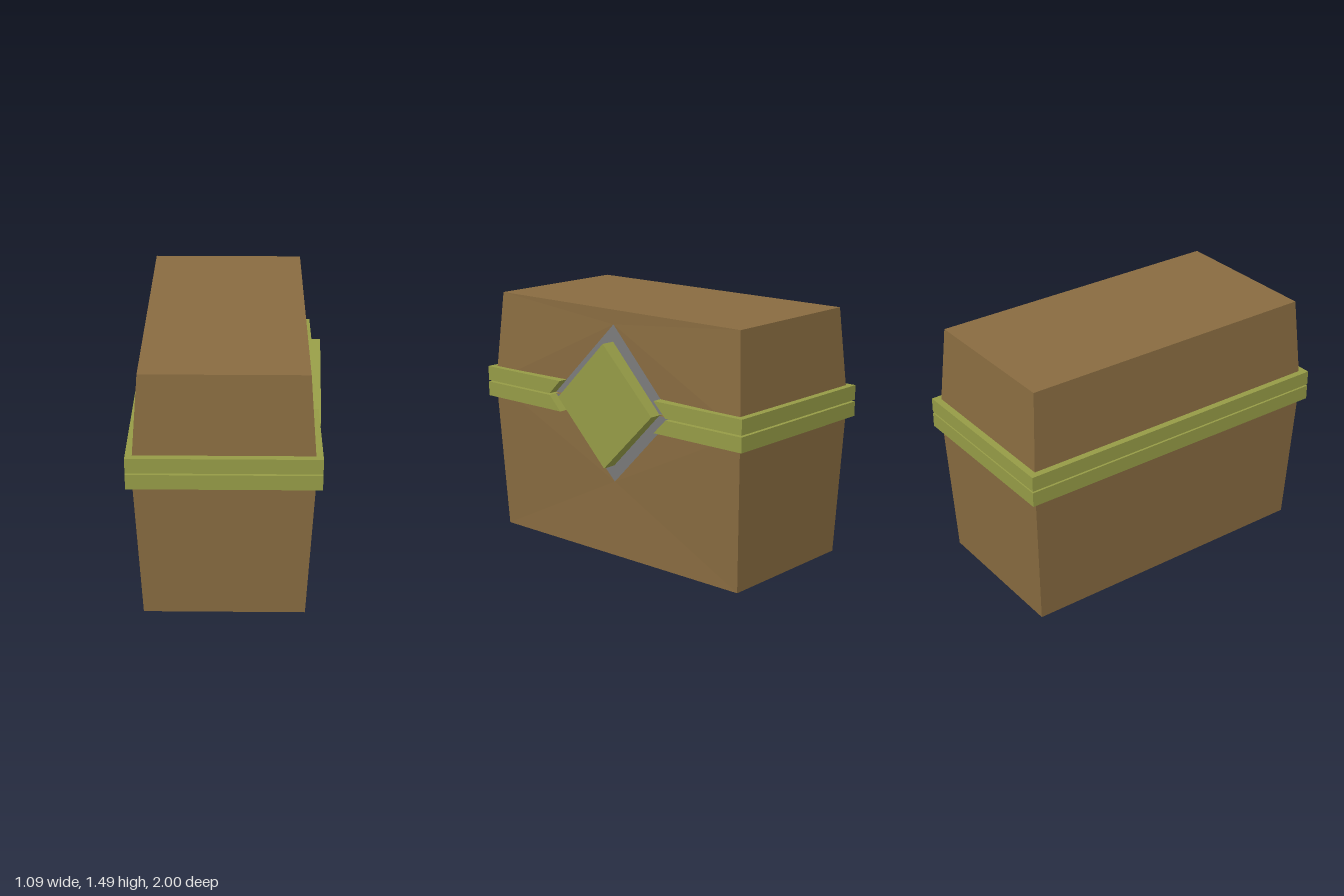
import * as THREE from 'three';

const brown = new THREE.MeshStandardMaterial({ name: 'brown wood', color: 0x886b40 });
const olive = new THREE.MeshStandardMaterial({ name: 'olive trim', color: 0x959b46 });
const grey = new THREE.MeshStandardMaterial({ name: 'grey plate', color: 0x797979 });
const MID = 0.93, GAP = 0.005;

// Flat-shaded convex polygons, each fanned into triangles
function faces(polys, flip) {
  const pos = [];
  for (const p of polys) {
    for (let i = 1; i < p.length - 1; i++) {
      const tri = flip ? [p[0], p[i + 1], p[i]] : [p[0], p[i], p[i + 1]];
      tri.forEach((v) => pos.push(...v));
    }
  }
  const g = new THREE.BufferGeometry();
  g.setAttribute('position', new THREE.Float32BufferAttribute(pos, 3));
  g.computeVertexNormals();
  return g;
}

// Outline in (z, y), given thickness along x
function slab(points, x, depth) {
  const shape = new THREE.Shape(points.map(([z, y]) => new THREE.Vector2(-z, y)));
  return new THREE.ExtrudeGeometry(shape, { depth, bevelEnabled: false })
    .rotateY(Math.PI / 2).translate(x, 0, 0);
}

export function createModel() {
  const root = new THREE.Group();
  const add = (name, geometry, material, parent = root) => {
    const m = new THREE.Mesh(geometry, material);
    m.name = name;
    parent.add(m);
    return m;
  };

  // Lid (s = 1) and base (s = -1) share one construction
  for (const s of [1, -1]) {
    const part = new THREE.Group();
    part.name = s > 0 ? 'lid' : 'base';
    root.add(part);
    const flip = s < 0;
    const end = s > 0 ? 1.485 : 0;
    const edge = MID + s * GAP;

    // Tapered box corners: a = outer end, c = seam
    const a = [[-0.47, end, 0.925], [0.45, end, 0.925], [0.45, end, -0.925], [-0.47, end, -0.925]];
    const c = [[-0.513, edge, 0.965], [0.493, edge, 0.965], [0.493, edge, -0.965], [-0.513, edge, -0.965]];
    // Diamond opening on the clasp side
    const p = [0.47, edge, 0.46], q = [0.47, edge, -0.46], r = [0.451, MID + s * 0.47, 0];

    add(part.name + 'Walls', faces([
      a,
      [c[0], c[1], a[1], a[0]],
      [c[2], c[3], a[3], a[2]],
      [c[3], c[0], a[0], a[3]],
      [r, a[1], c[1], p],
      [r, q, c[2], a[2]],
      [r, a[2], a[1]],
      [c[3], c[2], q, p, c[1], c[0]],
    ], flip), brown, part);
    add(part.name + 'ClaspPlate', faces([[p, q, r]], flip), grey, part);

    // Trim band round the seam, cut along the diamond
    const rim = MID + s * 0.093;
    const h = Math.abs(rim - edge), y = (rim + edge) / 2;
    for (const z of [-1, 1]) {
      add(z > 0 ? 'frontBand' : 'backBand',
        new THREE.BoxGeometry(1.07, h, 0.07).translate(-0.01, y, z * 0.965), olive, part);
      add('claspSideBand', slab([
        [z * 0.93, edge], [z * 0.46, edge], [z * 0.372, rim], [z * 0.93, rim],
      ], 0.45, 0.075), olive, part);
    }
    add('rightBand', new THREE.BoxGeometry(0.07, h, 1.86).translate(-0.51, y, 0), olive, part);
  }

  // Diamond clasp
  add('clasp', slab([[0.37, MID], [0, MID - 0.37], [-0.37, MID], [0, MID + 0.37]], 0.45, 0.092), olive);
  return root;
}
